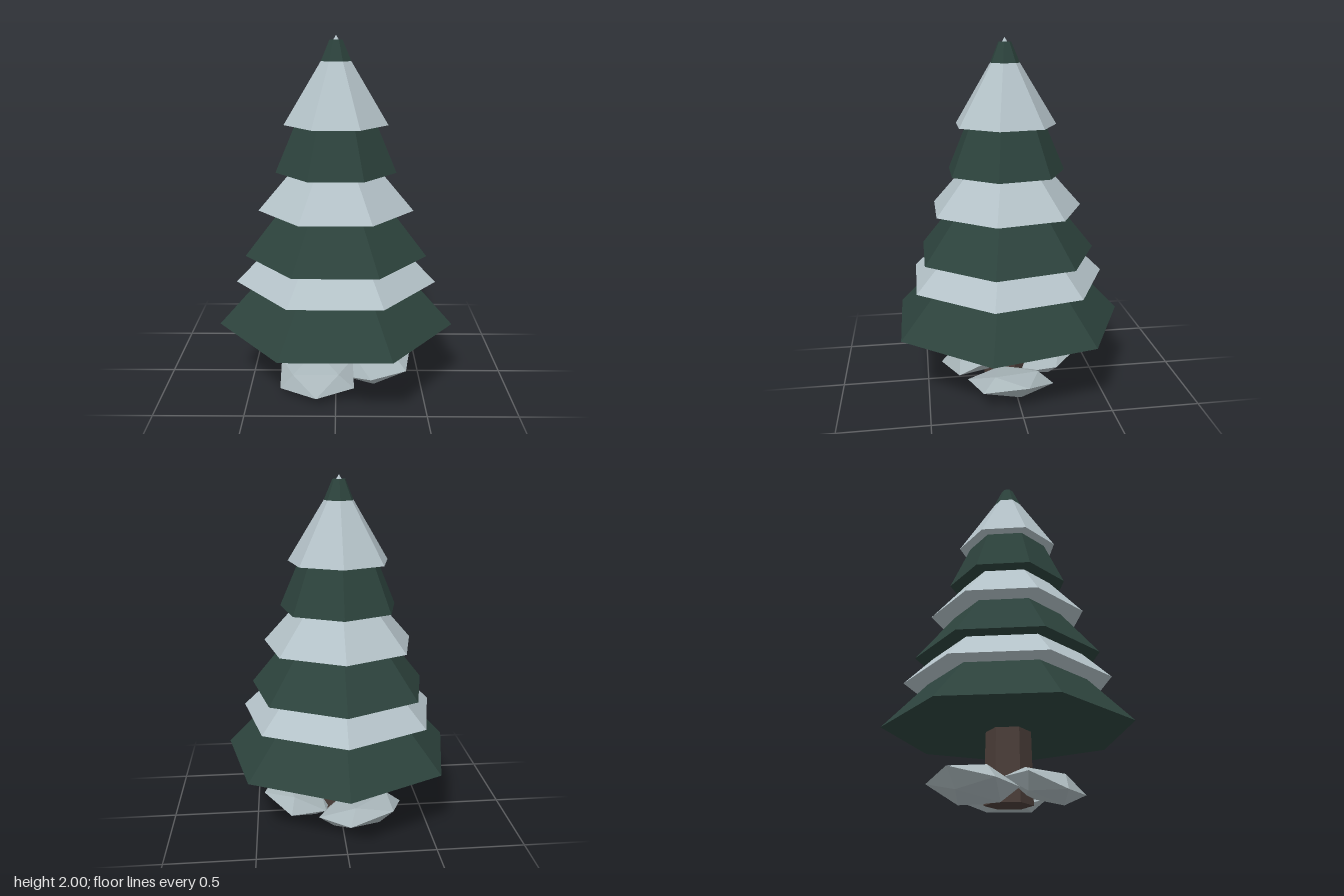
import * as THREE from 'three';

const mat = (color) => new THREE.MeshStandardMaterial({ color, flatShading: true });

export function createModel() {
  const model = new THREE.Group();
  const green = mat(0x2c423c), snow = mat(0xb4c2c8), bark = mat(0x4a3d38), stone = mat(0xa9b6ba);
  const axisZ = 0.031;

  // A tapered, many-sided tier standing on the trunk axis
  const tier = (name, material, y0, r0, y1, r1, sides = 7, start = Math.PI) => {
    const geo = new THREE.CylinderGeometry(r1, r0, y1 - y0, sides, 1, false, start);
    const mesh = new THREE.Mesh(geo, material);
    mesh.position.set(0, (y0 + y1) / 2, axisZ);
    mesh.name = name;
    model.add(mesh);
    return mesh;
  };

  // Trunk
  tier('trunk', bark, 0.01, 0.13, 0.5, 0.12, 6, -0.17).scale.x = 0.92;

  // Alternating branch tiers and snow layers, bottom to top: y0, r0, y1, r1
  const branches = [
    [0.4, 0.68, 0.78, 0.32],
    [0.8, 0.521, 1.2, 0.2],
    [1.27, 0.341, 1.975, 0.036],
  ];
  const snowLayers = [
    [0.65, 0.576, 0.95, 0.27],
    [1.06, 0.441, 1.4, 0.14],
    [1.53, 0.291, 2.0, 0],
  ];
  branches.forEach((b, i) => tier('branchTier' + (i + 1), green, ...b));
  snowLayers.forEach((s, i) => tier('snowLayer' + (i + 1), snow, ...s));

  // Flat faceted rocks around the trunk: position, yaw, outward pitch, half sizes
  const rocks = [
    { name: 'frontRock', at: [-0.11, 0.088, 0.2], yaw: -0.35, pitch: 0.24, size: [0.235, 0.075, 0.2] },
    { name: 'sideRock', at: [0.25, 0.098, 0.035], yaw: Math.PI / 2, pitch: -0.26, size: [0.235, 0.07, 0.21] },
    { name: 'backRock', at: [-0.11, 0.098, -0.17], yaw: Math.PI + 0.52, pitch: -0.22, size: [0.255, 0.075, 0.21] },
  ];
  for (const { name, at, yaw, pitch, size } of rocks) {
    const geo = new THREE.IcosahedronGeometry(1.08, 0);
    geo.rotateX(0.45).rotateY(0.3).scale(...size);
    const rock = new THREE.Mesh(geo, stone);
    rock.rotation.set(pitch, yaw, 0, 'YXZ');
    rock.position.set(...at);
    rock.name = name;
    // Rest the lowest corner on the ground
    rock.updateMatrixWorld(true);
    const low = new THREE.Box3().setFromObject(rock, true).min.y;
    rock.position.y -= low;
    model.add(rock);
  }

  return model;
}
